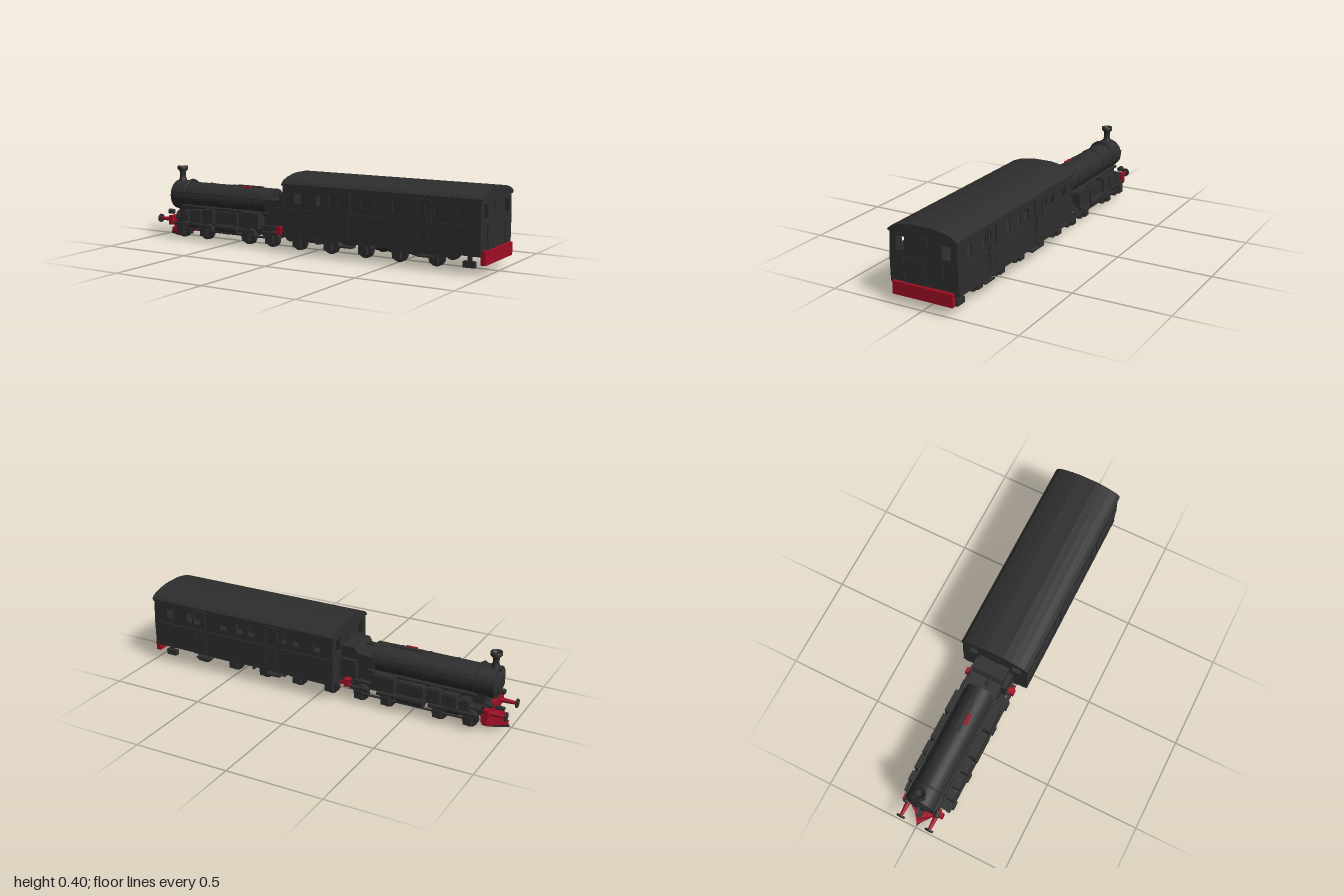
import * as THREE from 'three';

export function createModel() {
  const root = new THREE.Group();
  const black = new THREE.MeshStandardMaterial({ color: 0x2e2e2e });
  black.name = 'soot black';
  const red = new THREE.MeshStandardMaterial({ color: 0xa00e24 });
  red.name = 'signal red';

  const add = (name, geo, mat = black) => {
    const m = new THREE.Mesh(geo, mat);
    m.name = name;
    root.add(m);
    return m;
  };
  // box given by its limits
  const box = (name, x0, x1, y0, y1, z0, z1, mat) =>
    add(name, new THREE.BoxGeometry(x1 - x0, y1 - y0, z1 - z0)
      .translate((x0 + x1) / 2, (y0 + y1) / 2, (z0 + z1) / 2), mat);
  // box repeated on both sides
  const pair = (name, x0, x1, y0, y1, z0, z1, mat) => {
    box(name, x0, x1, y0, y1, z0, z1, mat);
    box(name, x0, x1, y0, y1, -z1, -z0, mat);
  };
  const cylX = (name, x0, x1, y, z, r0, r1 = r0, mat = black, seg = 20) =>
    add(name, new THREE.CylinderGeometry(r1, r0, x1 - x0, seg)
      .rotateZ(-Math.PI / 2).translate((x0 + x1) / 2, y, z), mat);
  const cylZ = (name, x, y, z0, z1, r, seg = 16) =>
    add(name, new THREE.CylinderGeometry(r, r, z1 - z0, seg)
      .rotateX(Math.PI / 2).translate(x, y, (z0 + z1) / 2));
  const rectHole = (x0, x1, y0, y1) =>
    new THREE.Path([[x0, y0], [x1, y0], [x1, y1], [x0, y1]].map(p => new THREE.Vector2(...p)));
  const shapeOf = pts => new THREE.Shape(pts.map(p => new THREE.Vector2(...p)));
  // symmetric z/y section swept along x
  const sweepX = (name, shape, x0, x1, mat) =>
    add(name, new THREE.ExtrudeGeometry(shape, { depth: x1 - x0, bevelEnabled: false })
      .rotateY(Math.PI / 2).translate(x0, 0, 0), mat);

  // ---- coach: side walls with windows
  const windows = [[-0.04, 0.0], [0.09, 0.12], [0.16, 0.18], [0.35, 0.39], [0.42, 0.46],
    [0.52, 0.56], [0.69, 0.73], [0.74, 0.77], [0.86, 0.9]];
  for (const s of [1, -1]) {
    const wall = shapeOf([[-0.105, 0.1], [0.98, 0.1], [0.98, 0.365], [-0.105, 0.365]]);
    for (const [a, b] of windows) wall.holes.push(rectHole(a, b, 0.265, 0.315));
    add('coachSide', new THREE.ExtrudeGeometry(wall, { depth: 0.008, bevelEnabled: false })
      .translate(0, 0, s > 0 ? 0.172 : -0.18));
  }
  pair('lowerPanel', -0.1, 0.975, 0.11, 0.23, 0.18, 0.184);
  pair('waistRail', -0.1, 0.975, 0.225, 0.235, 0.18, 0.188);
  pair('sill', -0.11, 0.975, 0.098, 0.112, 0.17, 0.186);
  // doors with frames, handles and steps
  for (const x of [0.25, 0.69]) {
    for (const dx of [-0.035, 0.035]) pair('doorPost', x + dx - 0.004, x + dx + 0.004, 0.11, 0.34, 0.18, 0.187);
    pair('doorLintel', x - 0.04, x + 0.04, 0.335, 0.343, 0.18, 0.187);
    pair('doorPanel', x - 0.028, x + 0.028, 0.13, 0.22, 0.184, 0.188);
    pair('doorHandle', x + 0.022, x + 0.026, 0.19, 0.26, 0.187, 0.192);
    pair('doorStep', x - 0.04, x + 0.04, 0.06, 0.068, 0.13, 0.17);
    pair('stepHanger', x - 0.03, x - 0.02, 0.06, 0.1, 0.14, 0.15);
  }

  // coach ends with paired windows
  const roofLine = [[0.182, 0.36], [0.165, 0.376], [0.13, 0.389], [0.09, 0.398], [0.05, 0.404]];
  const mirrored = pts => [...pts, ...pts.slice().reverse().map(([z, y]) => [-z, y])];
  for (const x of [-0.11, 0.972]) {
    const end = shapeOf(mirrored([[0.168, 0.1], [0.182, 0.115], [0.184, 0.22],
      ...roofLine.map(([z, y]) => [z * 0.98, y - 0.004])]));
    for (const c of [-0.123, 0.123]) end.holes.push(rectHole(c - 0.024, c + 0.024, 0.266, 0.333));
    sweepX('coachEnd', end, x, x + 0.01);
  }
  for (const x of [-0.113, 0.982]) {
    box('endWindowPlate', x, x + 0.004, 0.277, 0.343, -0.03, 0.03);
    box('gangwayDoor', x, x + 0.004, 0.115, 0.24, -0.01, 0.1);
    pair('endRib', x, x + 0.004, 0.115, 0.235, 0.105, 0.11);
  }

  // roof with slight overhang and a rain strip
  sweepX('roof', shapeOf(mirrored([[0.178, 0.355], ...roofLine.map(([z, y]) => [z * 1.015, y])])), -0.115, 0.99);
  pair('rainStrip', -0.115, 0.985, 0.35, 0.358, 0.178, 0.186);

  // coach underframe
  box('coachFloor', -0.11, 0.98, 0.09, 0.104, -0.172, 0.172);
  pair('soleBar', -0.1, 0.97, 0.075, 0.095, 0.07, 0.09);
  box('rearBeam', 0.975, 1.0, 0.05, 0.115, -0.162, 0.162, red);
  cylX('airTank', 0.3, 0.46, 0.065, 0.04, 0.022);
  cylZ('crossPipe', 0.38, 0.07, -0.15, 0.15, 0.008, 10);
  box('batteryBox', 0.2, 0.28, 0.05, 0.09, -0.13, -0.05);
  pair('rearStep', 0.88, 0.94, 0.03, 0.06, 0.125, 0.15);
  pair('rearHanger', 0.9, 0.92, 0.06, 0.1, 0.13, 0.14);

  // wheelsets for coach and engine
  for (const x of [-0.82, -0.66, -0.38, -0.23, -0.06, 0.13, 0.33, 0.52, 0.72]) {
    cylZ('axle', x, 0.05, -0.11, 0.11, 0.008, 8);
    for (const s of [-1, 1]) {
      const z = s * 0.09;
      cylZ('wheel', x, 0.05, z - 0.012, z + 0.012, 0.042, 20);
      cylZ('wheelHub', x, 0.05, s * 0.108 - 0.008, s * 0.108 + 0.008, 0.018, 10);
    }
    pair('axleBox', x - 0.022, x + 0.022, 0.03, 0.075, 0.115, 0.135);
    pair('leafSpring', x - 0.05, x + 0.05, 0.075, 0.09, 0.11, 0.13);
  }
  for (const [a, b] of [[-0.1, 0.18], [0.47, 0.78]]) pair('bogieFrame', a, b, 0.058, 0.078, 0.112, 0.122);

  // ---- engine: boiler, smokebox, firebox
  box('engineFrame', -0.91, -0.1, 0.065, 0.12, -0.075, 0.075);
  box('boilerSaddle', -0.88, -0.26, 0.115, 0.19, -0.06, 0.06);
  box('runningPlate', -0.87, -0.12, 0.108, 0.118, -0.11, 0.11);
  cylX('boiler', -0.86, -0.27, 0.225, 0, 0.077, 0.077, black, 28);
  cylX('smokebox', -0.925, -0.82, 0.228, 0, 0.081, 0.081, black, 28);
  cylX('smokeboxDoor', -0.938, -0.925, 0.228, 0, 0.04, 0.066, black, 24);
  cylX('doorKnob', -0.948, -0.935, 0.228, 0, 0.01, 0.01, black, 10);
  for (const x of [-0.7, -0.55, -0.4]) cylX('boilerBand', x - 0.005, x + 0.005, 0.225, 0, 0.0795, 0.0795, black, 28);
  box('redValveCover', -0.48, -0.42, 0.298, 0.304, 0.012, 0.03, red);
  box('topFitting', -0.52, -0.36, 0.295, 0.306, -0.015, 0.012);
  for (const s of [-1, 1]) {
    const rail = new THREE.CatmullRomCurve3([[-0.92, 0.25, s * 0.082], [-0.6, 0.255, s * 0.085],
      [-0.28, 0.25, s * 0.085]].map(p => new THREE.Vector3(...p)));
    add('handrail', new THREE.TubeGeometry(rail, 8, 0.004, 6));
  }

  // chimney and the pipe loop behind it
  const stack = [[0, 0.29], [0.03, 0.29], [0.02, 0.315], [0.016, 0.33], [0.017, 0.355], [0.029, 0.368],
    [0.029, 0.386], [0.02, 0.386], [0.014, 0.36], [0, 0.36]].map(p => new THREE.Vector2(...p));
  add('chimney', new THREE.LatheGeometry(stack, 20).translate(-0.9, 0, 0));
  add('pipeLoop', new THREE.TorusGeometry(0.076, 0.006, 6, 20, Math.PI).rotateY(Math.PI / 2).translate(-0.835, 0.236, 0));

  // side boxes and cylinders along the engine
  for (const [a, b, top] of [[-0.82, -0.77, 0.15], [-0.755, -0.68, 0.16], [-0.67, -0.6, 0.17],
    [-0.58, -0.44, 0.165], [-0.425, -0.3, 0.175]]) {
    pair('sideBox', a, b, 0.1, top, 0.07, 0.128);
    pair('sideBoxLid', a + 0.008, b - 0.008, top, top + 0.006, 0.075, 0.122);
  }
  for (const s of [-1, 1]) {
    cylX('steamCylinder', -0.58, -0.44, 0.085, s * 0.105, 0.032);
    cylX('pistonRod', -0.8, -0.25, 0.06, s * 0.125, 0.006, 0.006, black, 8);
    cylX('frontCylinder', -0.77, -0.7, 0.085, s * 0.1, 0.028);
    cylX('feedPipe', -0.84, -0.26, 0.178, s * 0.085, 0.009, 0.009, black, 8);
  }

  // bunker between boiler and coach, with a sloped front
  const bunker = shapeOf([[-0.29, 0.1], [-0.1, 0.1], [-0.1, 0.283], [-0.185, 0.283], [-0.2, 0.255], [-0.29, 0.25]]);
  add('bunker', new THREE.ExtrudeGeometry(bunker, { depth: 0.17, bevelEnabled: false }).translate(0, 0, -0.085));
  pair('bunkerTank', -0.2, -0.11, 0.11, 0.22, 0.085, 0.105);
  pair('bunkerBuffer', -0.19, -0.13, 0.1, 0.118, 0.1, 0.12);
  pair('redBracket', -0.18, -0.15, 0.085, 0.125, 0.105, 0.14, red);
  pair('redFoot', -0.15, -0.125, 0.09, 0.105, 0.11, 0.13, red);
  cylX('whistle', -0.24, -0.2, 0.275, 0.02, 0.009, 0.009, black, 8);

  // front beam, buffers and lamps
  box('frontBeam', -0.915, -0.89, 0.07, 0.12, -0.112, 0.112, red);
  for (const s of [-1, 1]) {
    cylX('bufferStem', -0.99, -0.91, 0.095, s * 0.08, 0.009, 0.013, red, 12);
    cylX('bufferHead', -1.0, -0.992, 0.095, s * 0.08, 0.023, 0.023, black, 16);
    cylX('frontLamp', -0.93, -0.9, 0.14, s * 0.085, 0.014, 0.014, black, 12);
  }
  box('coupling', -0.96, -0.91, 0.085, 0.097, -0.012, 0.012);

  // wedge plough: red upper part, black blade
  const plough = (name, y0, y1, nose, half, mat) => {
    const plan = shapeOf([[-nose, 0], [-0.9, -half], [-0.87, -half], [-0.87, half], [-0.9, half]]);
    return add(name, new THREE.ExtrudeGeometry(plan, { depth: y1 - y0, bevelEnabled: false })
      .rotateX(-Math.PI / 2).translate(0, y0, 0), mat);
  };
  plough('ploughTop', 0.035, 0.075, 0.965, 0.085, red);
  plough('ploughBlade', 0.012, 0.036, 0.985, 0.065, red);
  plough('ploughSole', 0, 0.012, 0.99, 0.045);

  return root;
}
